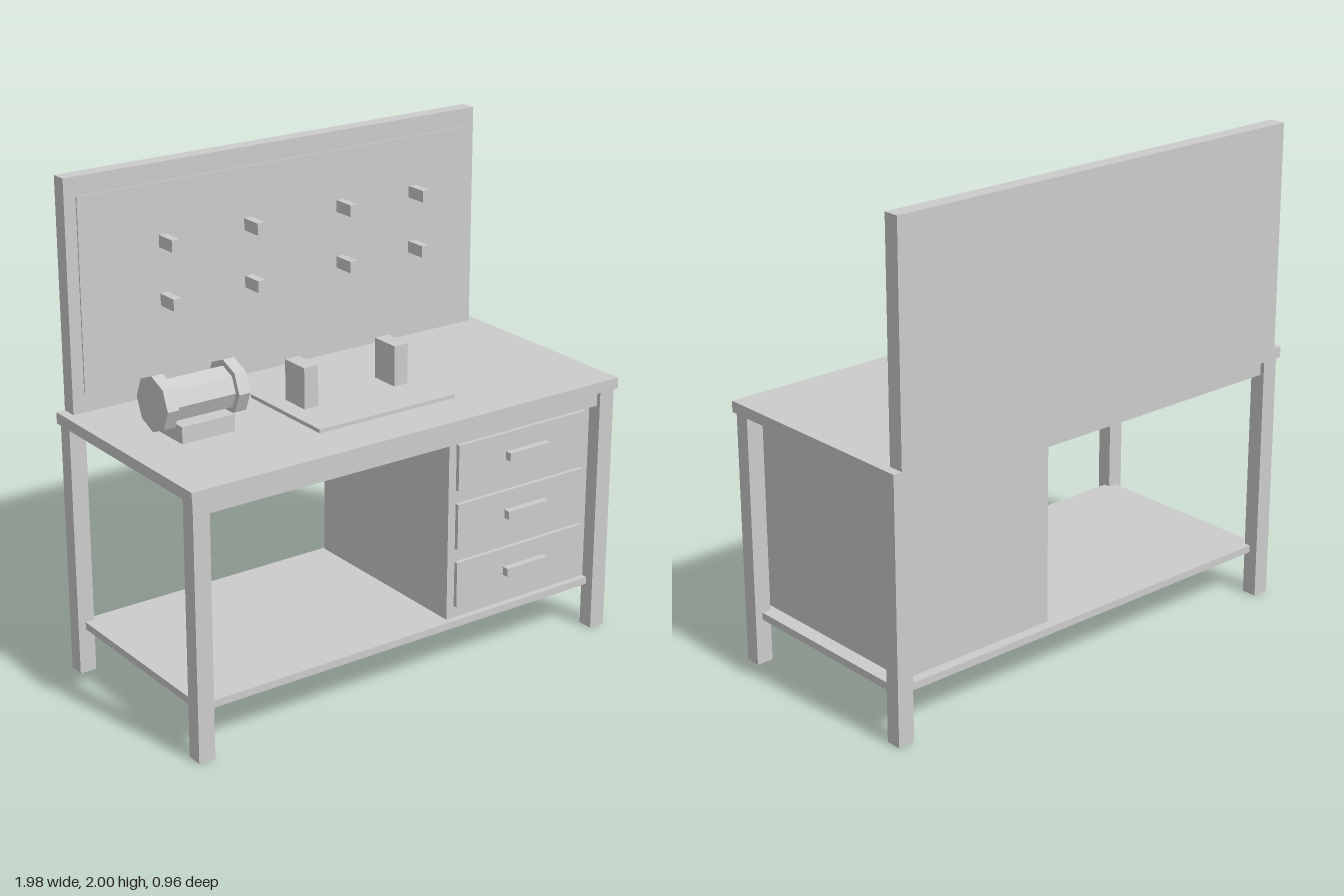
import * as THREE from 'three';

export function createModel() {
  const model = new THREE.Group();
  model.name = 'workbench';
  const grey = new THREE.MeshStandardMaterial({ color: 0xcccccc });
  grey.name = 'plain grey';

  const add = (name, geometry, x, y, z) => {
    const mesh = new THREE.Mesh(geometry, grey);
    mesh.name = name;
    mesh.position.set(x, y, z);
    model.add(mesh);
  };
  // Box given by its limits along each axis
  const box = (name, x0, x1, y0, y1, z0, z1) =>
    add(name, new THREE.BoxGeometry(x1 - x0, y1 - y0, z1 - z0),
      (x0 + x1) / 2, (y0 + y1) / 2, (z0 + z1) / 2);

  // Bench frame
  box('benchTop', -0.992, 0.992, 1.035, 1.08, -0.48, 0.48);
  box('lowerShelf', -0.95, 0.95, 0.185, 0.215, -0.43, 0.43);
  for (const sx of [-1, 1]) {
    for (const sz of [-1, 1]) {
      add('leg', new THREE.BoxGeometry(0.07, 1.035, 0.065), sx * 0.947, 0.5175, sz * 0.435);
    }
  }
  for (const sz of [-1, 1]) {
    add('apron', new THREE.BoxGeometry(1.83, 0.065, 0.03), 0, 1.0025, sz * 0.435);
  }

  // Drawer cabinet
  box('drawerCabinet', 0.195, 0.9, 0.225, 1.035, -0.402, 0.42);
  for (const y of [0.37, 0.615, 0.86]) {
    box('drawerFront', 0.23, 0.862, y - 0.095, y + 0.095, 0.42, 0.437);
    box('drawerHandle', 0.462, 0.665, y - 0.017, y + 0.017, 0.437, 0.465);
  }

  // Tool board with pegs
  box('backBoard', -0.955, 0.955, 1.08, 2, -0.48, -0.415);
  box('boardPanel', -0.905, 0.905, 1.16, 1.925, -0.415, -0.409);
  for (const x of [-0.543, -0.158, 0.28, 0.64]) {
    for (const y of [1.465, 1.697]) {
      box('peg', x - 0.0175, x + 0.0175, y - 0.024, y + 0.024, -0.41, -0.315);
    }
  }

  // Flat plate with two upright blocks
  box('plate', -0.308, 0.33, 1.08, 1.095, -0.18, 0.28);
  for (const x of [-0.203, 0.222]) {
    box('uprightBlock', x - 0.032, x + 0.032, 1.095, 1.26, -0.05, 0.077);
  }

  // Bench grinder: octagonal motor, two wheels and a foot
  const octagon = (name, radius, x0, x1) => {
    const geometry = new THREE.CylinderGeometry(radius, radius, x1 - x0, 8)
      .rotateZ(Math.PI / 2).toNonIndexed();
    geometry.computeVertexNormals();
    add(name, geometry, (x0 + x1) / 2, 1.22, -0.022);
  };
  box('grinderFoot', -0.778, -0.548, 1.08, 1.147, -0.122, 0.077);
  octagon('grinderMotor', 0.085, -0.8, -0.53);
  octagon('grinderWheel', 0.109, -0.842, -0.793);
  octagon('grinderWheel', 0.109, -0.533, -0.484);

  return model;
}
